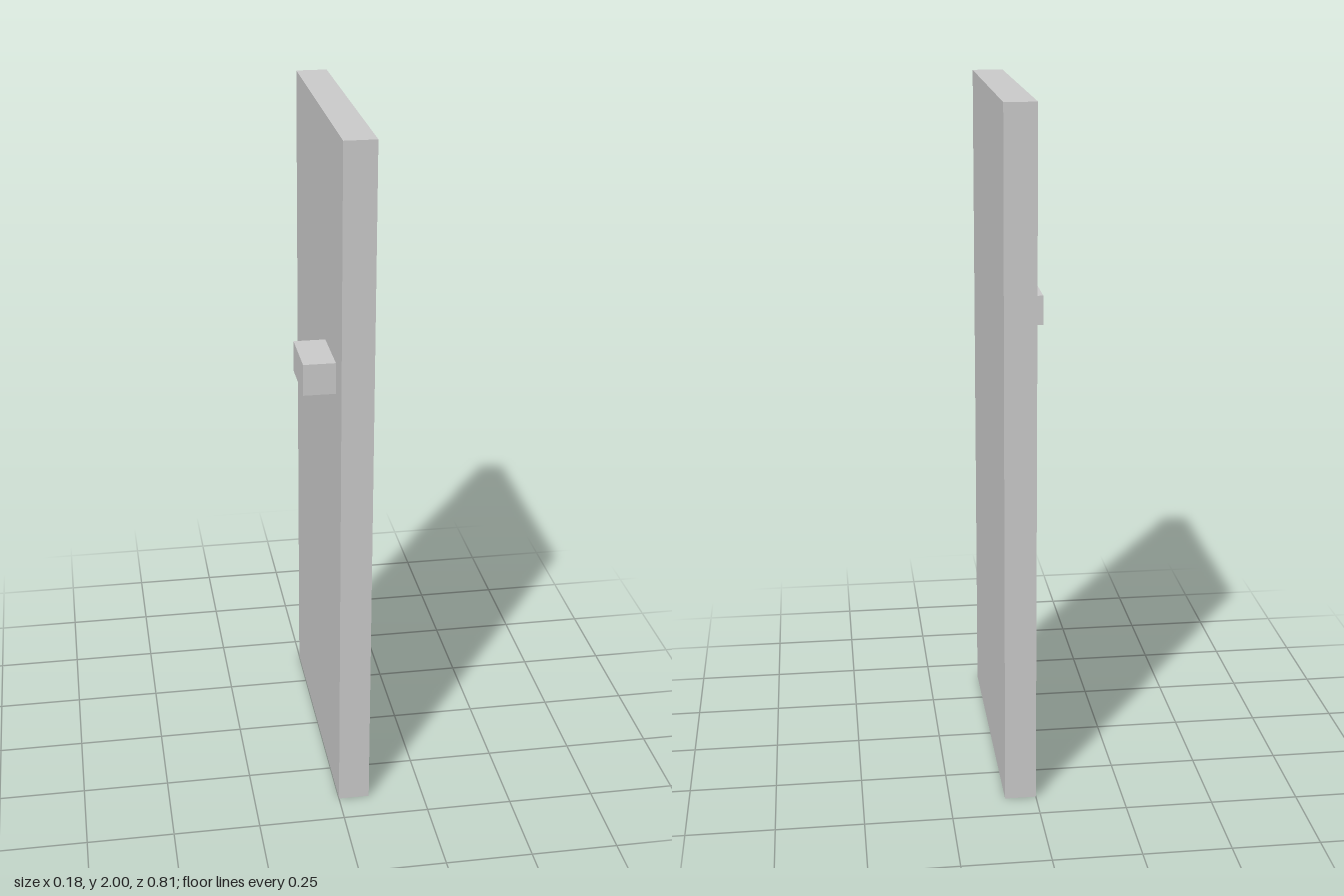
import * as THREE from 'three';

const material = new THREE.MeshStandardMaterial({ color: 0xcccccc });

// Box given by its minimum and maximum corners
function block(name, min, max) {
  const [w, h, d] = max.map((v, i) => v - min[i]);
  const mesh = new THREE.Mesh(new THREE.BoxGeometry(w, h, d), material);
  mesh.position.set(min[0] + w / 2, min[1] + h / 2, min[2] + d / 2);
  mesh.name = name;
  return mesh;
}

export function createModel() {
  const door = new THREE.Group();
  door.name = 'door';

  // Tall flat door panel
  door.add(block('panel', [0, 0, -0.407], [0.09, 2, 0.407]));

  // Handle block on one face, near the front edge
  door.add(block('handle', [-0.09, 1.274, 0.135], [0, 1.364, 0.315]));

  return door;
}
